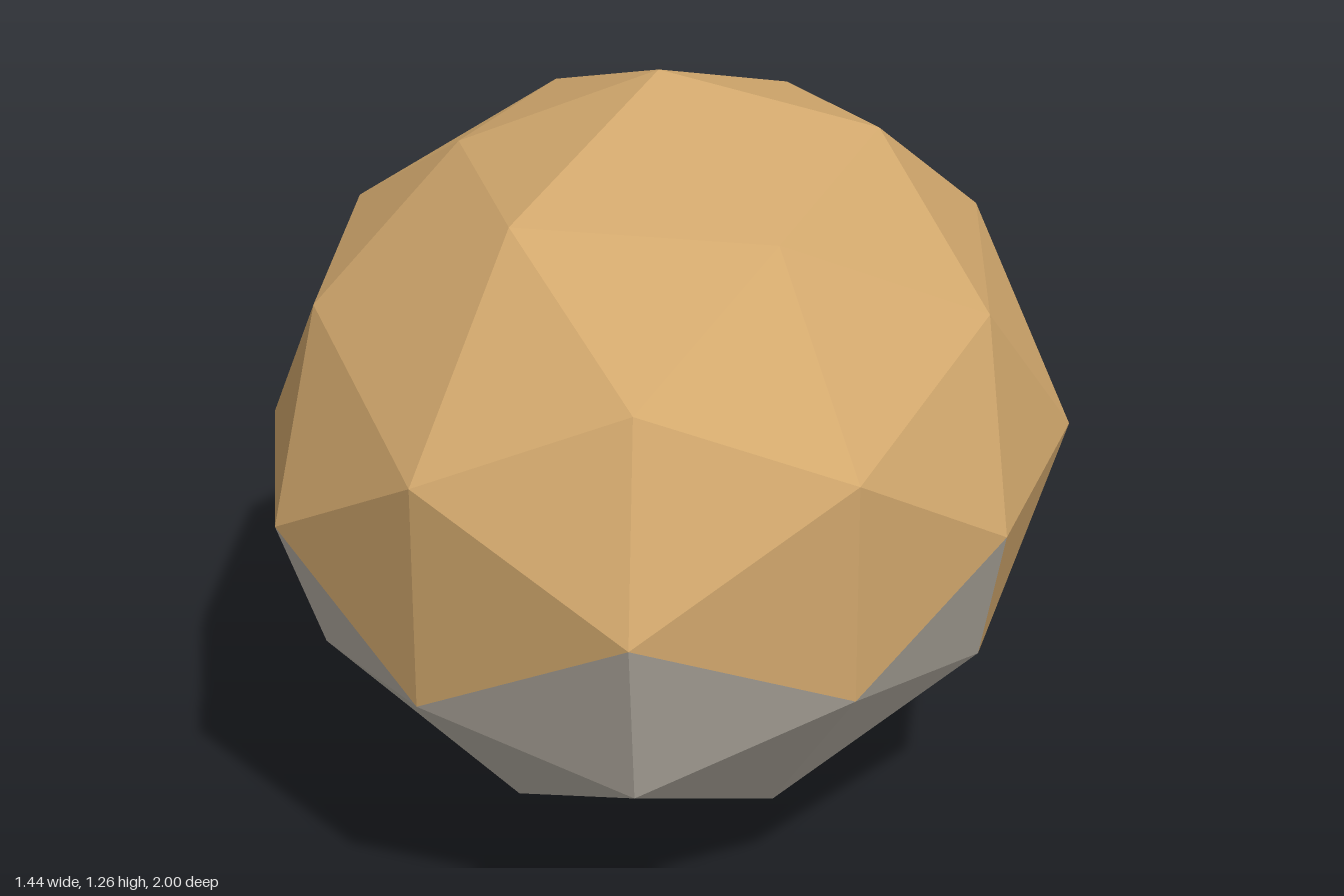
import * as THREE from 'three';

const sand = new THREE.MeshStandardMaterial({ color: 0xd2a86d, flatShading: true });
sand.name = 'sand';
const grey = new THREE.MeshStandardMaterial({ color: 0xc3bcb0, flatShading: true });
grey.name = 'stone grey';

// Uneven corners: direction on the unit sphere, then its small shift
const nudges = [
  [[0, 1, 0], [0, 0.02, 0]],
  [[0, -1, 0], [0, 0.015, 0]],
  [[1, 0, 0], [0.03, 0, 0]],
  [[-1, 0, 0], [0.01, 0, 0]],
  [[0.53, 0.85, 0], [0.013, 0.014, 0]],
  [[-0.53, 0.85, 0], [0.02, -0.02, 0]],
  [[0.53, -0.85, 0], [-0.01, 0.03, 0]],
  [[-0.53, -0.85, 0], [0.02, 0.01, 0]],
  [[0.31, 0.81, 0.5], [0, -0.02, -0.02]],
  [[-0.31, 0.81, 0.5], [0, 0.015, 0.01]],
  [[0.31, 0.81, -0.5], [0, -0.02, 0]],
  [[-0.31, 0.81, -0.5], [0, -0.02, 0]],
  [[0.31, -0.81, -0.5], [0, 0.02, 0.01]],
  [[0.5, 0.31, 0.81], [0, 0, -0.02]],
  [[0.5, -0.31, 0.81], [0, 0.01, -0.03]],
  [[-0.5, 0.31, 0.81], [0, 0, 0.02]],
  [[0.5, 0.31, -0.81], [0.01, 0, -0.02]],
  [[0.5, -0.31, -0.81], [0, 0, -0.025]],
  [[0, 0.53, -0.85], [0, -0.01, 0.025]],
  [[-0.85, 0, 0.53], [-0.015, 0, 0.01]],
].map(([dir, shift]) => [new THREE.Vector3(...dir), new THREE.Vector3(...shift)]);

// Stretch a unit-sphere corner into the rock's shape
function toRock(p) {
  const out = new THREE.Vector3(0.71 * p.x - 0.02, 0.615 + 0.63 * p.y, p.z);
  for (const [dir, shift] of nudges) {
    if (dir.distanceTo(p) < 0.05) out.add(shift);
  }
  return out;
}

function addPart(group, name, points, material) {
  const geometry = new THREE.BufferGeometry().setFromPoints(points);
  geometry.computeVertexNormals();
  const mesh = new THREE.Mesh(geometry, material);
  mesh.name = name;
  group.add(mesh);
}

export function createModel() {
  const rock = new THREE.Group();
  rock.name = 'rock';

  // Split the faces into the upper shell and the grey base with its zigzag edge
  const ball = new THREE.IcosahedronGeometry(1, 1).toNonIndexed?.() ?? null;
  const pos = ball.attributes.position;
  const upper = [], lower = [];
  for (let i = 0; i < pos.count; i += 3) {
    const face = [0, 1, 2].map((k) => new THREE.Vector3().fromBufferAttribute(pos, i + k));
    const height = (face[0].y + face[1].y + face[2].y) / 3;
    (height > -0.22 ? upper : lower).push(...face.map(toRock));
  }
  addPart(rock, 'rockTop', upper, sand);
  addPart(rock, 'rockBase', lower, grey);
  return rock;
}
